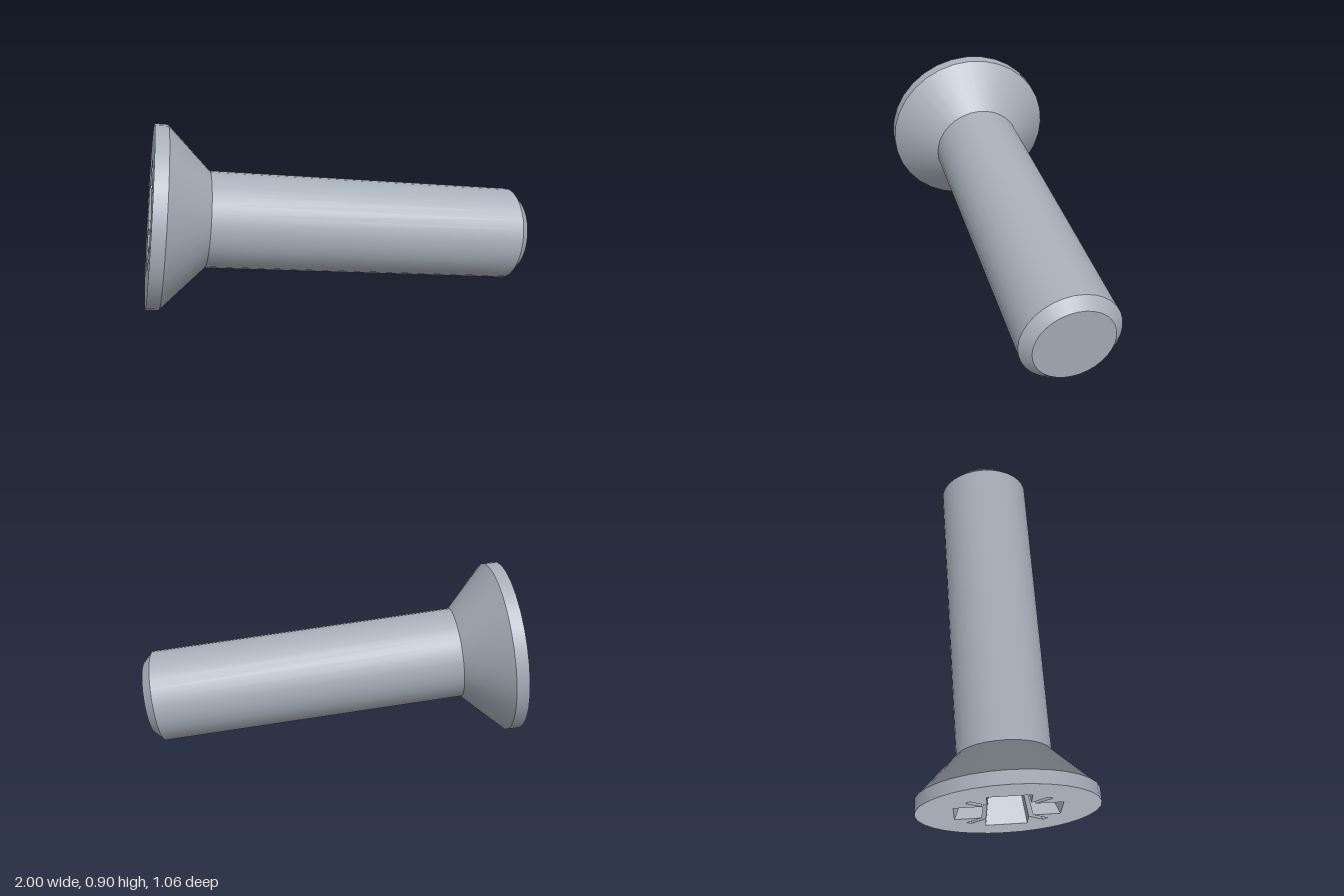
import * as THREE from 'three';

const SEGMENTS = 32;
const HEAD_R = 0.448, SHAFT_R = 0.238, TIP_R = 0.19, LENGTH = 1.903;

// Repeats one quadrant of a recess outline four times round the axis
function fourfold(quadrant) {
  const points = [];
  for (let k = 0; k < 4; k++) {
    for (const [x, y] of quadrant) {
      points.push(new THREE.Vector2(x, y).rotateAround(new THREE.Vector2(), k * Math.PI / 2));
    }
  }
  return points;
}

// Tapered walls between two outlines, closed by a conical floor
function recessGeometry(top, bottom, depth, apexDepth) {
  const positions = [];
  const a = top.map(p => [p.x, p.y, 0]);
  const b = bottom.map(p => [p.x, p.y, -depth]);
  for (let i = 0; i < a.length; i++) {
    const j = (i + 1) % a.length;
    positions.push(...a[i], ...a[j], ...b[i], ...a[j], ...b[j], ...b[i]);
    positions.push(...b[i], ...b[j], 0, 0, -apexDepth);
  }
  const geometry = new THREE.BufferGeometry();
  geometry.setAttribute('position', new THREE.Float32BufferAttribute(positions, 3));
  geometry.computeVertexNormals();
  return geometry.rotateX(Math.PI / 2);
}

export function createModel() {
  const model = new THREE.Group();
  model.name = 'countersunkScrew';
  const steel = new THREE.MeshStandardMaterial({ color: 0xa8b0bb });
  steel.name = 'steel';

  function add(name, geometry) {
    const mesh = new THREE.Mesh(geometry, steel);
    mesh.name = name;
    model.add(mesh);
  }

  // Turned sections along the axis, each with sharp ends
  const sections = [
    ['headRim', HEAD_R, 0, HEAD_R, 0.065],
    ['headCone', HEAD_R, 0.065, SHAFT_R, 0.275],
    ['shaft', SHAFT_R, 0.275, SHAFT_R, LENGTH - 0.048],
    ['tipChamfer', SHAFT_R, LENGTH - 0.048, TIP_R, LENGTH],
    ['tipFace', TIP_R, LENGTH, 0, LENGTH],
  ];
  for (const [name, r0, y0, r1, y1] of sections) {
    add(name, new THREE.LatheGeometry([new THREE.Vector2(r0, y0), new THREE.Vector2(r1, y1)], SEGMENTS));
  }

  // Cross recess: four wide wings with a thin slit between each pair
  const top = fourfold([[0.26, -0.105], [0.26, 0.105], [0.126, 0.105],
    [0.202, 0.18], [0.18, 0.202], [0.105, 0.126]]);
  const bottom = fourfold([[0.18, -0.075], [0.18, 0.075], [0.09, 0.075],
    [0.11, 0.095], [0.095, 0.11], [0.075, 0.09]]);

  // Flat head face, pierced by the recess
  const rim = [];
  for (let i = 0; i < SEGMENTS; i++) {
    const t = i / SEGMENTS * Math.PI * 2;
    rim.push(new THREE.Vector2(HEAD_R * Math.cos(t), HEAD_R * Math.sin(t)));
  }
  const face = new THREE.Shape(rim);
  face.holes.push(new THREE.Path(top));
  add('headFace', new THREE.ShapeGeometry(face).rotateX(Math.PI / 2));
  add('driveRecess', recessGeometry(top, bottom, 0.19, 0.3));

  // Lay the screw along its slanted axis, with the recess wings upright
  const axis = new THREE.Vector3(0.971, -0.1175, 0.2094).normalize();
  const side = new THREE.Vector3(-axis.z, 0, axis.x).normalize();
  const across = new THREE.Vector3().crossVectors(axis, side);
  model.quaternion.setFromRotationMatrix(new THREE.Matrix4().makeBasis(across, axis, side));
  model.position.set(-0.893, 0.455, -0.09);
  return model;
}
